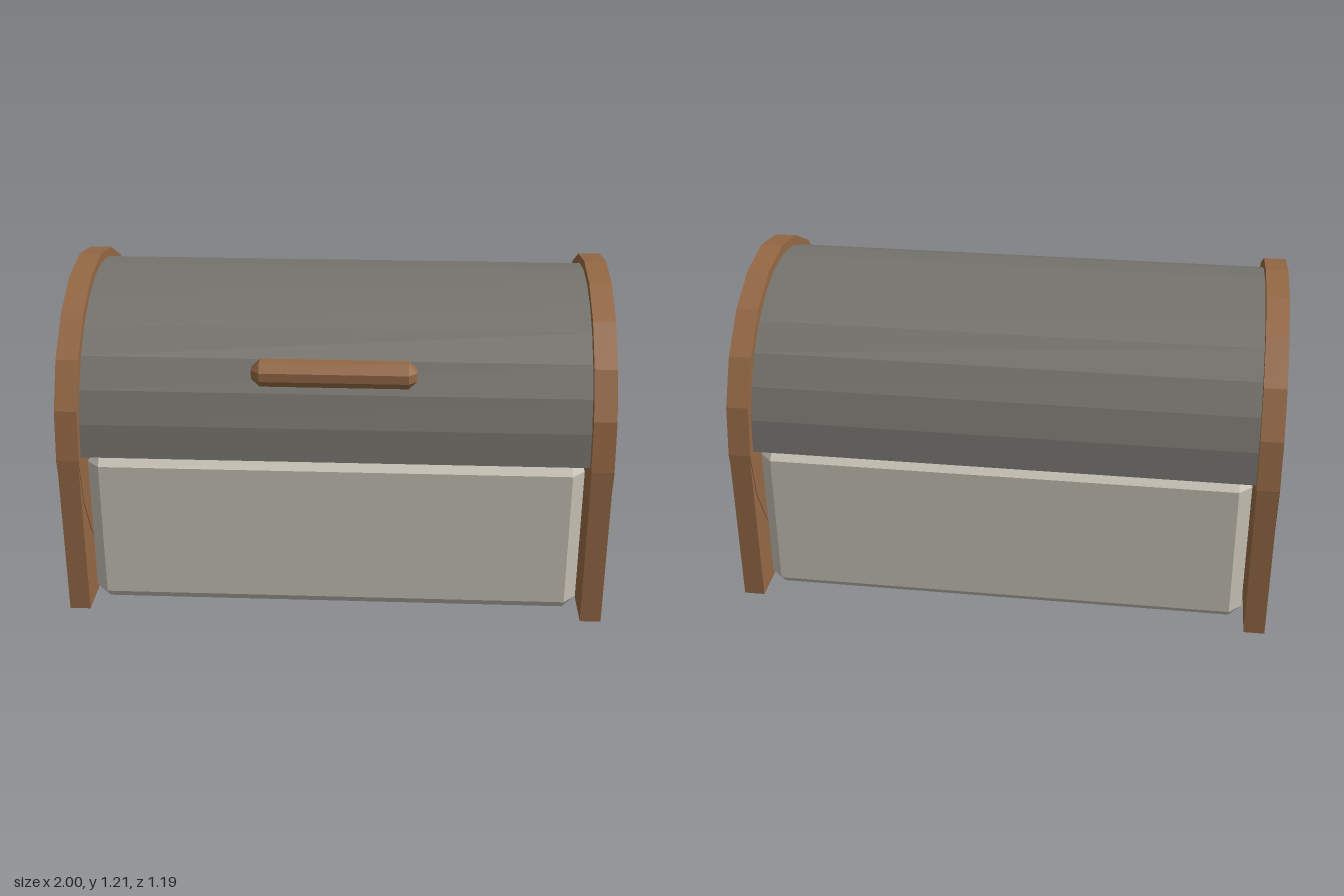
import * as THREE from 'three';
import { ConvexGeometry } from 'three/addons/geometries/ConvexGeometry.js';

const wood = new THREE.MeshStandardMaterial({ color: 0x94683f, flatShading: true });
const lidGrey = new THREE.MeshStandardMaterial({ color: 0x75736d, flatShading: true });
const pale = new THREE.MeshStandardMaterial({ color: 0xc6c1b5, flatShading: true });
wood.color.set(0x946844);

const AXIS_Y = 0.62; // height of the drum axis

// Box with every edge cut at 45 degrees (half sizes hx, hy, hz; cut c)
function chamferedBox(hx, hy, hz, c) {
  const points = [];
  for (const x of [-1, 1]) for (const y of [-1, 1]) for (const z of [-1, 1]) {
    points.push(
      new THREE.Vector3(x * hx, y * (hy - c), z * (hz - c)),
      new THREE.Vector3(x * (hx - c), y * hy, z * (hz - c)),
      new THREE.Vector3(x * (hx - c), y * (hy - c), z * hz)
    );
  }
  return new ConvexGeometry(points);
}

// Faceted drum lying along x, covering the given arc from the +z side upwards
function drum(radius, length, arc, steps) {
  const points = [];
  for (let i = 0; i < steps + (arc < Math.PI * 2 ? 1 : 0); i++) {
    const a = (i / steps) * arc;
    points.push(new THREE.Vector2(Math.cos(a) * radius, Math.sin(a) * radius));
  }
  const geometry = new THREE.ExtrudeGeometry(new THREE.Shape(points), { depth: length, bevelEnabled: false });
  geometry.translate(0, 0, -length / 2);
  geometry.rotateY(Math.PI / 2);
  return geometry;
}

function addMesh(parent, name, geometry, material, x, y, z) {
  const mesh = new THREE.Mesh(geometry, material);
  mesh.name = name;
  mesh.position.set(x, y, z);
  parent.add(mesh);
}

export function createModel() {
  const model = new THREE.Group();
  model.name = 'breadBox';

  // Bevelled lower compartment
  addMesh(model, 'base', chamferedBox(0.91, 0.31, 0.54, 0.047), pale, 0, 0.31, 0);

  // Half-round roll lid
  addMesh(model, 'lid', drum(0.558, 1.85, Math.PI, 14), lidGrey, 0, AXIS_Y, 0);

  // Handle on the front of the lid
  addMesh(model, 'handle', chamferedBox(0.295, 0.046, 0.049, 0.03), wood, 0, 0.94, 0.495);

  // End panels: a round disc over a square foot
  for (const side of [1, -1]) {
    const panel = new THREE.Group();
    panel.name = side > 0 ? 'leftPanel' : 'rightPanel';
    panel.position.x = side * 0.959;
    addMesh(panel, 'panelDisc', drum(0.593, 0.082, Math.PI * 2, 20), wood, 0, AXIS_Y, 0);
    addMesh(panel, 'panelFoot', new THREE.BoxGeometry(0.077, AXIS_Y, 1.186), wood, 0, AXIS_Y / 2, 0);
    model.add(panel);
  }
  return model;
}
